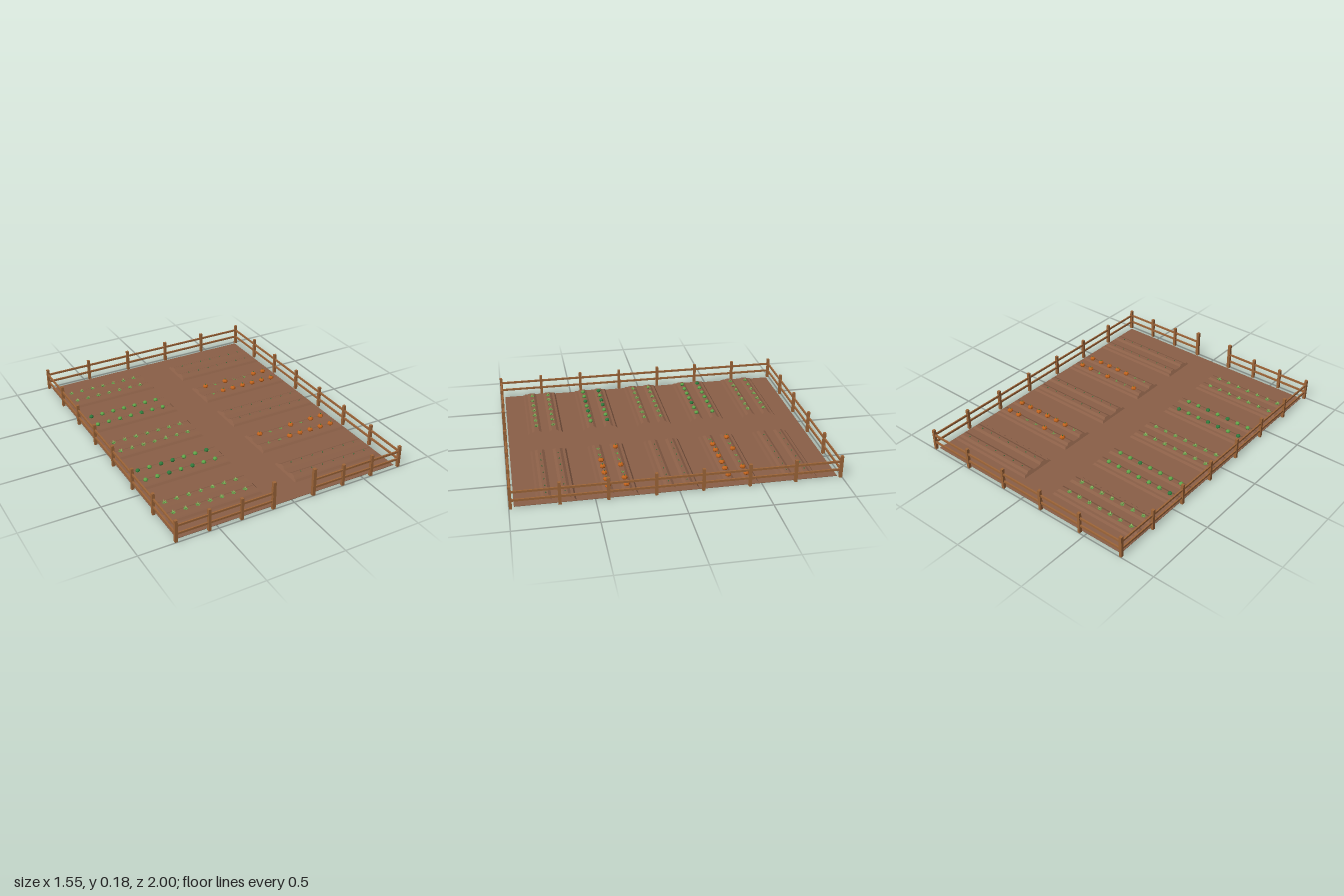
import * as THREE from 'three';
import { mergeGeometries } from 'three/addons/utils/BufferGeometryUtils.js';

function paint(name, color) {
  const m = new THREE.MeshStandardMaterial({ color, flatShading: true });
  m.name = name;
  return m;
}

const soil = paint('soil', 0x8a5f47);
const wood = paint('fence wood', 0x9e6538);
const lettuceGreen = paint('lettuce green', 0x8fbf62);
const leafGreen = paint('leaf green', 0x5fa548);
const darkGreen = paint('dark green', 0x2f7a3c);
const orange = paint('pumpkin orange', 0xc0621c);

function add(parent, name, geometry, material, x = 0, y = 0, z = 0) {
  const mesh = new THREE.Mesh(geometry, material);
  mesh.name = name;
  mesh.position.set(x, y, z);
  parent.add(mesh);
  return mesh;
}

// Ring of pointed leaves leaning outwards by the given tilt
function leafRing(count, length, width, tilt, turn = 0) {
  const leaves = [];
  for (let i = 0; i < count; i++) {
    const g = new THREE.ConeGeometry(width, length, 4);
    g.scale(1, 1, 0.5);
    g.translate(0, length / 2, 0);
    g.rotateX(tilt);
    g.rotateY(turn + (i / count) * Math.PI * 2);
    leaves.push(g);
  }
  return mergeGeometries(leaves);
}

// Raised bed: two ridges along x, sloping ends
function bedGeometry(length) {
  const half = [[0.117, 0], [0.104, 0.014], [0.088, 0.014], [0.071, 0.023],
    [0.043, 0.023], [0.026, 0.014]];
  const pts = [...half, ...half.map(([x, y]) => [-x, y]).reverse()];
  const g = new THREE.ExtrudeGeometry(
    new THREE.Shape(pts.map(([x, y]) => new THREE.Vector2(x, y))),
    { depth: length, bevelEnabled: false });
  g.translate(0, 0, -length / 2);
  g.rotateY(Math.PI / 2);
  const p = g.attributes.position;
  for (let i = 0; i < p.count; i++) p.setX(i, p.getX(i) - Math.sign(p.getX(i)) * p.getY(i) * 0.8);
  g.computeVertexNormals();
  return g;
}

// Ribbed pumpkin body
function pumpkinGeometry() {
  const g = new THREE.SphereGeometry(0.018, 12, 6);
  const p = g.attributes.position;
  for (let i = 0; i < p.count; i++) {
    const a = Math.atan2(p.getZ(i), p.getX(i));
    const k = 1 + 0.07 * Math.cos(a * 6);
    p.setXYZ(i, p.getX(i) * k, p.getY(i) * 0.75, p.getZ(i) * k);
  }
  g.computeVertexNormals();
  return g;
}

const shapes = {
  outerLeaves: leafRing(6, 0.021, 0.007, 1.15),
  innerLeaves: leafRing(5, 0.02, 0.006, 0.5, 0.4),
  cabbageHead: new THREE.IcosahedronGeometry(0.014, 1).scale(1, 0.85, 1),
  cabbageLeaves: leafRing(5, 0.021, 0.009, 1.2),
  sprout: leafRing(3, 0.012, 0.003, 0.5),
  vine: leafRing(4, 0.02, 0.004, 1.1, 0.4),
  pumpkin: pumpkinGeometry(),
  stem: new THREE.CylinderGeometry(0.002, 0.004, 0.009, 5),
};

const plants = {
  lettuce(g) {
    add(g, 'outerLeaves', shapes.outerLeaves, leafGreen);
    add(g, 'innerLeaves', shapes.innerLeaves, lettuceGreen, 0, 0.002);
  },
  cabbage(g, dark) {
    add(g, 'cabbageHead', shapes.cabbageHead, dark ? darkGreen : leafGreen, 0, 0.01);
    add(g, 'cabbageLeaves', shapes.cabbageLeaves, dark ? leafGreen : darkGreen);
  },
  sprout(g) {
    add(g, 'sproutLeaves', shapes.sprout, darkGreen);
  },
  pumpkin(g, ripe) {
    if (ripe) {
      add(g, 'pumpkinBody', shapes.pumpkin, orange, 0, 0.011);
      add(g, 'pumpkinStem', shapes.stem, darkGreen, 0, 0.026);
    } else add(g, 'vineLeaves', shapes.vine, leafGreen);
  },
};

// Two rows of seven; '1' marks a dark cabbage or a ripe pumpkin
const plain = ['0000000', '0000000'];
const layout = {
  left: [['lettuce', plain], ['cabbage', ['1000000', '0000100']], ['lettuce', plain],
    ['cabbage', ['1011001', '0010100']], ['lettuce', plain]],
  right: [['sprout', plain], ['pumpkin', ['1010011', '0111111']], ['sprout', plain],
    ['pumpkin', ['1001011', '0011111']], ['sprout', plain]],
};

// Straight fence run: posts at equal spacing and two rails
function fenceRun(parent, name, x0, z0, x1, z1, bays) {
  const run = new THREE.Group();
  run.name = name;
  parent.add(run);
  const length = Math.hypot(x1 - x0, z1 - z0);
  const post = new THREE.BoxGeometry(0.018, 0.145, 0.018);
  for (let i = 0; i <= bays; i++) {
    const t = i / bays;
    add(run, 'fencePost', post, wood, x0 + (x1 - x0) * t, 0.0725, z0 + (z1 - z0) * t);
  }
  for (const y of [0.053, 0.107]) {
    const rail = add(run, 'fenceRail', new THREE.BoxGeometry(length, 0.013, 0.009), wood,
      (x0 + x1) / 2, y, (z0 + z1) / 2);
    rail.rotation.y = -Math.atan2(z1 - z0, x1 - x0);
  }
}

export function createModel() {
  const model = new THREE.Group();
  model.name = 'vegetableGarden';

  // Ground slab
  add(model, 'ground', new THREE.BoxGeometry(1.5, 0.003, 1.945), soil, 0, 0.0015, -0.002);

  // Beds and crops
  const bed = bedGeometry(0.635);
  for (const [side, bedX, firstX] of [['left', -0.432, -0.675], ['right', 0.428, 0.192]]) {
    layout[side].forEach(([kind, rows], b) => {
      const group = new THREE.Group();
      group.name = kind + 'Bed';
      group.position.z = -0.735 + b * 0.365;
      model.add(group);
      add(group, 'raisedBed', bed, soil, bedX, 0.001, 0);
      rows.forEach((row, r) => [...row].forEach((flag, i) => {
        const plant = new THREE.Group();
        plant.name = kind;
        plant.position.set(firstX + i * 0.079, 0.022, r ? 0.056 : -0.056);
        plant.rotation.y = (i * 2.4 + r * 1.1 + b) % 6.28;
        plants[kind](plant, flag === '1');
        group.add(plant);
      }));
    });
  }

  // Fence with a gateway at the front
  const X = 0.765, Z = 0.99;
  fenceRun(model, 'backFence', -X, -Z, X, -Z, 5);
  for (const s of [-1, 1]) {
    fenceRun(model, 'sideFence', s * X, -Z, s * X, Z, 7);
    fenceRun(model, 'frontFence', s * X, Z, s * 0.14, Z, 3);
    add(model, 'gatePost', new THREE.BoxGeometry(0.02, 0.183, 0.02), wood, s * 0.138, 0.0915, Z);
  }
  return model;
}
